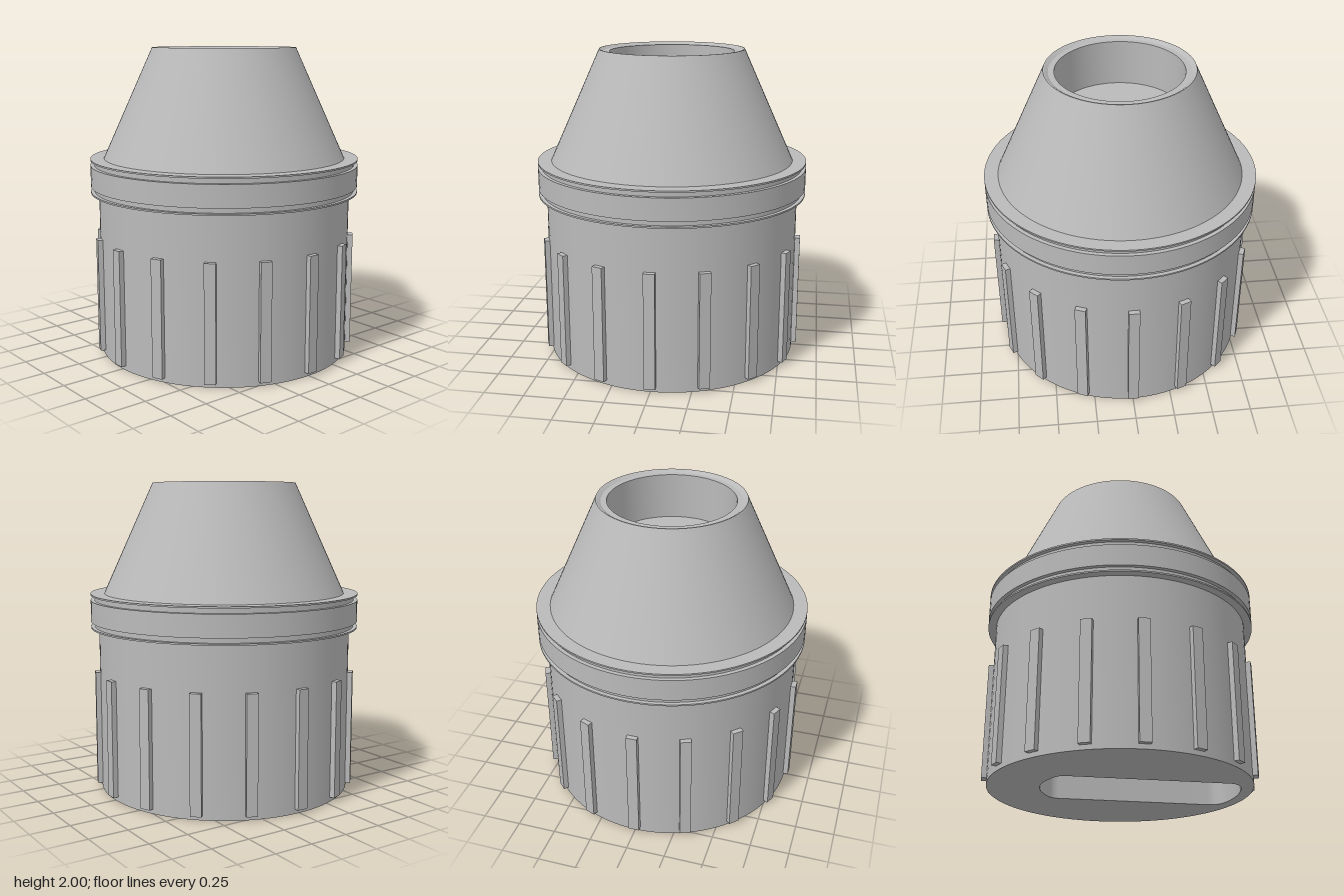
import * as THREE from 'three';
import { toCreasedNormals } from 'three/addons/utils/BufferGeometryUtils.js';

const SEGMENTS = 96;

export function createModel() {
  const group = new THREE.Group();
  const grey = new THREE.MeshStandardMaterial({ color: 0xbababa });
  grey.name = 'grey';

  const add = (name, geometry) => {
    const mesh = new THREE.Mesh(geometry, grey);
    mesh.name = name;
    group.add(mesh);
    return mesh;
  };
  const lathe = (points) => toCreasedNormals(
    new THREE.LatheGeometry(points.map(([r, y]) => new THREE.Vector2(r, y)), SEGMENTS), 0.4);

  // Body: a solid drum with an offset rounded slot cut upward from below
  const bodyHeight = 1.07;
  const outline = new THREE.Shape();
  outline.absarc(0, 0, 0.828, 0, Math.PI * 2, false);
  const slot = new THREE.Path();
  slot.moveTo(-0.36, -0.255);
  slot.lineTo(0.63, -0.255);
  slot.quadraticCurveTo(0.7, -0.255, 0.73, -0.17);
  slot.quadraticCurveTo(0.78, 0, 0.73, 0.17);
  slot.quadraticCurveTo(0.7, 0.255, 0.63, 0.255);
  slot.lineTo(-0.36, 0.255);
  slot.quadraticCurveTo(-0.42, 0.255, -0.45, 0.18);
  slot.quadraticCurveTo(-0.55, 0, -0.45, -0.18);
  slot.quadraticCurveTo(-0.42, -0.255, -0.36, -0.255);
  outline.holes.push(slot);
  const body = new THREE.ExtrudeGeometry(outline, {
    depth: bodyHeight, bevelEnabled: false, curveSegments: SEGMENTS / 2,
  });
  body.rotateX(Math.PI / 2).translate(0, bodyHeight, 0);
  add('body', toCreasedNormals(body, 0.4));

  // Closed end of the slot
  const ceiling = new THREE.CircleGeometry(0.82, SEGMENTS);
  ceiling.rotateX(Math.PI / 2).translate(0, bodyHeight - 0.01, 0);
  add('slotCeiling', ceiling);

  // Collar with a groove under each thin lip
  add('collar', lathe([
    [0.82, 1.063], [0.88, 1.063], [0.88, 1.073], [0.855, 1.073], [0.855, 1.105],
    [0.88, 1.105], [0.88, 1.245], [0.855, 1.245], [0.855, 1.277], [0.88, 1.277],
    [0.88, 1.287], [0.78, 1.287],
  ]));

  // Tapered top with a stepped rim and a blind bore
  const boreFloor = 1.69;
  add('cone', lathe([
    [0.792, 1.285], [0.467, 2], [0.46, 2], [0.437, 1.985], [0.4, 1.985], [0.4, boreFloor],
  ]));
  const floor = new THREE.CircleGeometry(0.4, SEGMENTS);
  floor.rotateX(-Math.PI / 2).translate(0, boreFloor, 0);
  add('boreFloor', floor);

  // Grip ribs around the body
  const ribCount = 16;
  const ribGeometry = new THREE.BoxGeometry(0.07, 0.745, 0.06);
  ribGeometry.translate(0, 0.4025, 0.83);
  for (let i = 0; i < ribCount; i++) {
    add('gripRib', ribGeometry).rotation.y = (i / ribCount) * Math.PI * 2;
  }

  return group;
}
